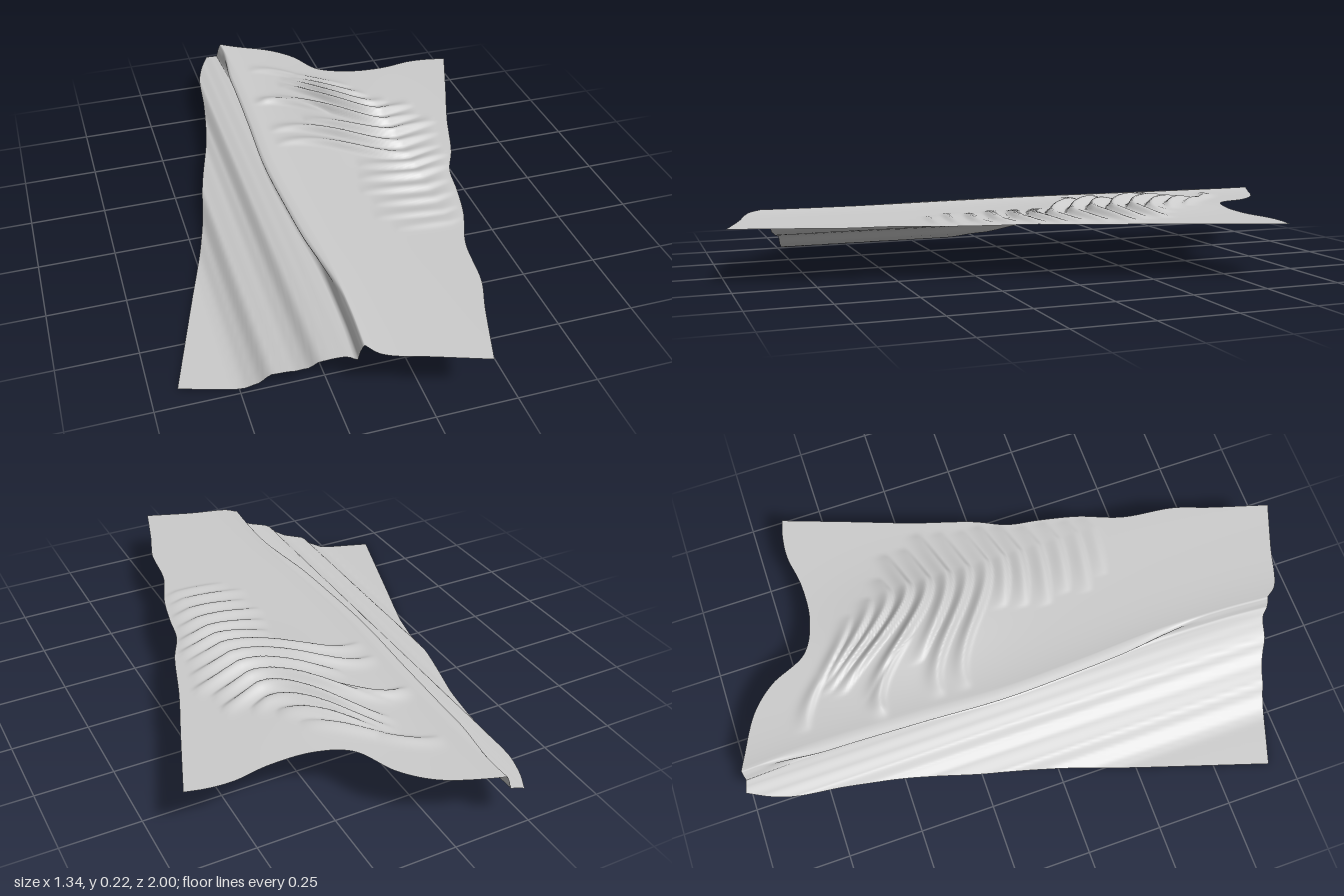
import * as THREE from 'three';

const ROWS = 260, LEFT = 40, RIGHT = 84;

// plan curve through [x, z] points, evenly sampled
const curve = (pts, n) =>
  new THREE.CatmullRomCurve3(pts.map(([x, z]) => new THREE.Vector3(x, 0, z))).getSpacedPoints(n);

const step = THREE.MathUtils.smoothstep;

// piecewise-linear lookup with eased segments
function profile(pts, x) {
  if (x <= pts[0][0]) return pts[0][1];
  for (let i = 1; i < pts.length; i++) {
    const [x0, y0] = pts[i - 1], [x1, y1] = pts[i];
    if (x <= x1) {
      const t = (x - x0) / (x1 - x0);
      return y0 + (y1 - y0) * (0.5 * t + 0.5 * t * t * (3 - 2 * t));
    }
  }
  return pts[pts.length - 1][1];
}

// patch filled between four boundary curves
function patch(a, b, back, front, i, j) {
  const s = i / (back.length - 1), v = j / ROWS, n = back.length - 1;
  const f = (k) =>
    (1 - s) * a[j][k] + s * b[j][k] + (1 - v) * back[i][k] + v * front[i][k]
    - (1 - s) * (1 - v) * back[0][k] - s * (1 - v) * back[n][k]
    - (1 - s) * v * front[0][k] - s * v * front[n][k];
  return [f('x'), f('z')];
}

// terraced slope below the ledge: [x, y]
const SLOPE = [[-0.52, 0], [-0.49, 0.004], [-0.45, 0.022], [-0.41, 0.057], [-0.35, 0.07],
  [-0.315, 0.085], [-0.28, 0.117], [-0.24, 0.127], [-0.2, 0.135], [-0.175, 0.138]];

// overhanging ledge: [offset in x, y]
const LEDGE = [[0, 0.138], [0.01, 0.148], [0.012, 0.16], [0.004, 0.169],
  [-0.012, 0.174], [-0.014, 0.181], [-0.002, 0.186], [0.02, 0.187]];

// ripples: start x, end x, z at the lower end, drop in z, height
const RIPPLES = [
  [-0.1, 0.12, -0.5, 0.25, 0.012], [0, 0.24, -0.5, 0.24, 0.014], [0.03, 0.28, -0.43, 0.3, 0.02],
  [0, 0.34, -0.36, 0.35, 0.022], [-0.02, 0.42, -0.29, 0.36, 0.028], [-0.08, 0.42, -0.22, 0.3, 0.028],
  [-0.16, 0.1, -0.2, 0.3, 0.018], [0, 0.46, -0.15, 0.22, 0.026], [-0.14, 0.44, -0.08, 0.22, 0.025],
  [-0.14, 0.42, -0.01, 0.2, 0.022], [0.1, 0.42, 0.05, 0.12, 0.018], [0.08, 0.4, 0.11, 0.08, 0.017],
  [0.06, 0.37, 0.18, 0.06, 0.014], [0.08, 0.36, 0.25, 0.06, 0.012], [0.06, 0.34, 0.32, 0.05, 0.01],
  [0.1, 0.33, 0.38, 0.04, 0.007]];

// height of the plateau with its low mound and ripples
function plateau(x, z, fromLedge) {
  let y = 0.176 + 0.011 * Math.exp(-fromLedge / 0.07);
  y += 0.021 * Math.exp(-(((x - 0.15) / 0.17) ** 2) - ((z + 0.33) / 0.28) ** 2);
  let ripple = 0;
  for (const [x0, x1, zEnd, drop, h] of RIPPLES) {
    const t = (x - x0) / (x1 - x0);
    if (t <= 0 || t >= 1) continue;
    const crest = zEnd - drop * (1 - step(x, -0.1, 0.28)) - 0.3 * Math.max(0, x - 0.28);
    const d = z - crest;
    const w = d > 0 ? 0.014 : 0.032;
    ripple = Math.max(ripple, h * Math.sin(Math.PI * t) ** 0.8 * Math.exp(-((d / w) ** 2)));
  }
  return y + ripple * step(fromLedge, 0, 0.06);
}

export function createModel() {
  const group = new THREE.Group();
  const stone = new THREE.MeshStandardMaterial({ color: 0xcccccc, side: THREE.DoubleSide });
  stone.name = 'light grey ground';

  // outline of the terrain and line of the ledge, back to front
  const outer = curve([[-0.22, -1], [-0.255, -0.93], [-0.28, -0.85], [-0.3, -0.68], [-0.335, -0.48],
    [-0.4, -0.24], [-0.455, 0], [-0.55, 0.3], [-0.67, 0.68]], ROWS);
  const ledge = curve([[-0.18, -0.988], [-0.172, -0.75], [-0.182, -0.4], [-0.195, -0.1],
    [-0.185, 0.2], [-0.172, 0.45], [-0.175, 0.7], [-0.185, 0.855]], ROWS);
  const inner = curve([[0.665, -0.63], [0.58, -0.4], [0.505, -0.2], [0.44, 0], [0.39, 0.11], [0.37, 0.22],
    [0.34, 0.35], [0.285, 0.5], [0.26, 0.68], [0.22, 0.8], [0.16, 1]], ROWS);
  const backLeft = curve([[-0.22, -1], [-0.18, -0.988]], LEFT);
  const frontLeft = curve([[-0.67, 0.68], [-0.5, 0.735], [-0.36, 0.775], [-0.28, 0.81],
    [-0.21, 0.83], [-0.185, 0.855]], LEFT);
  const backRight = curve([[-0.18, -0.988], [-0.14, -0.97], [0, -0.9], [0.08, -0.82], [0.15, -0.69],
    [0.26, -0.64], [0.4, -0.632], [0.52, -0.65], [0.6, -0.645], [0.665, -0.63]], RIGHT);
  const frontRight = curve([[-0.185, 0.855], [-0.15, 0.895], [0, 0.945], [0.16, 1]], RIGHT);

  // one cross-section per row: slope, ledge, plateau
  const pos = [];
  let cols = 0;
  for (let j = 0; j <= ROWS; j++) {
    const start = pos.length;
    for (let i = 0; i < LEFT; i++) {
      const [x, z] = patch(outer, ledge, backLeft, frontLeft, i, j);
      pos.push(x, profile(SLOPE, x), z);
    }
    const c = ledge[j];
    const overhang = step(c.z, -0.95, -0.7) * (1 - step(c.z, 0.3, 0.65));
    LEDGE.forEach(([dx, y], k) => {
      const plain = 0.02 * k / (LEDGE.length - 1);
      pos.push(c.x + plain + (dx - plain) * overhang, y, c.z);
    });
    for (let i = 1; i <= RIGHT; i++) {
      const [px, z] = patch(ledge, inner, backRight, frontRight, i, j);
      const x = px + 0.02 * (1 - i / RIGHT);
      pos.push(x, plateau(x, z, Math.max(0, x - c.x - 0.02)), z);
    }
    cols = (pos.length - start) / 3;
  }

  const index = [];
  for (let j = 0; j < ROWS; j++) {
    for (let i = 0; i < cols - 1; i++) {
      const a = j * cols + i, b = a + cols;
      index.push(a, b, a + 1, b, b + 1, a + 1);
    }
  }
  const geometry = new THREE.BufferGeometry();
  geometry.setAttribute('position', new THREE.Float32BufferAttribute(pos, 3));
  geometry.setIndex(index);
  geometry.computeVertexNormals();

  const terrain = new THREE.Mesh(geometry, stone);
  terrain.name = 'terrain';
  group.add(terrain);
  return group;
}
